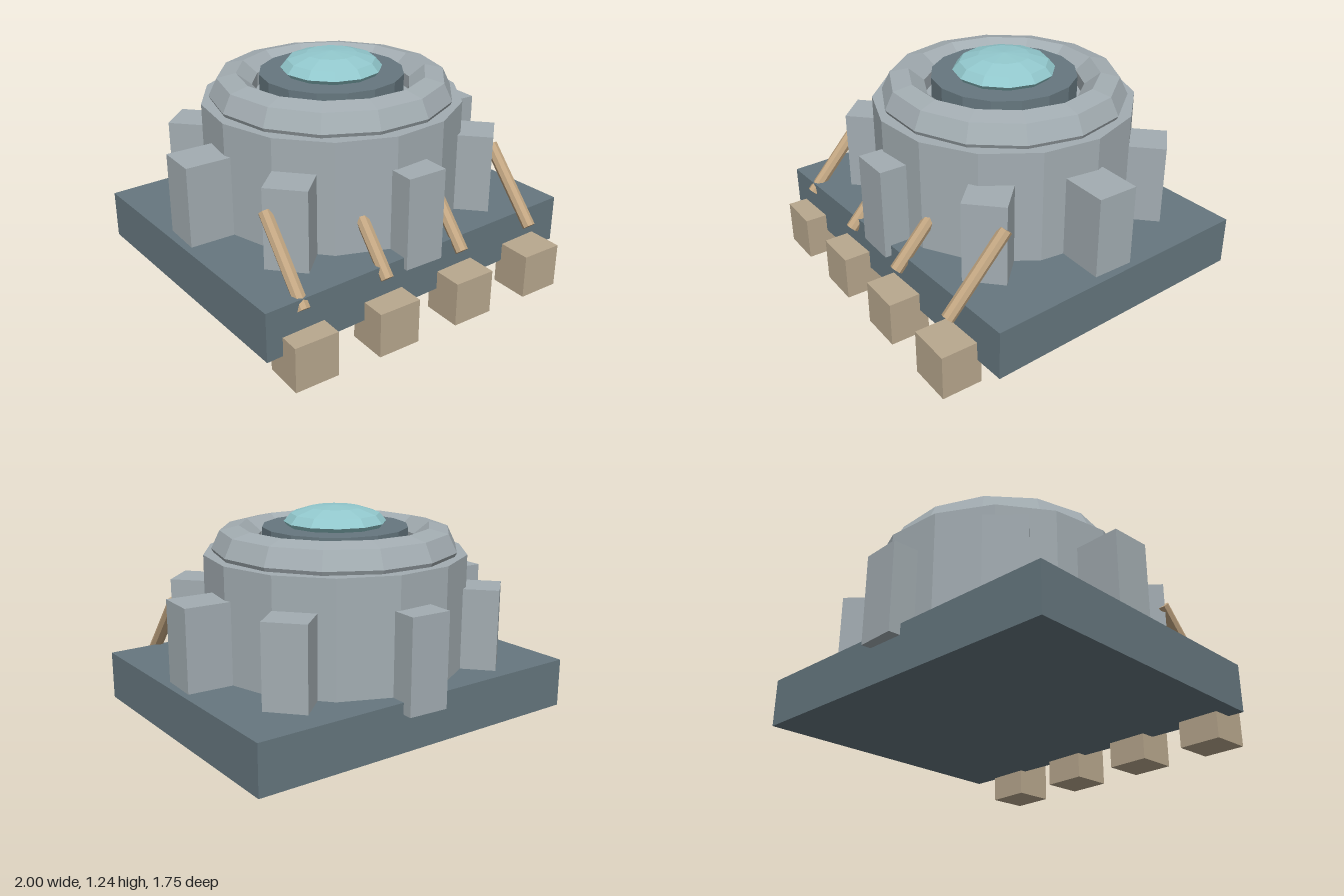
import * as THREE from 'three';

export function createModel() {
  const model = new THREE.Group();
  const mat = (name, color) => {
    const m = new THREE.MeshStandardMaterial({ color, flatShading: true });
    m.name = name;
    return m;
  };
  const paleStone = mat('pale grey', 0xa3adb2);
  const slate = mat('slate', 0x66777f);
  const sand = mat('sand', 0xb9a88e);
  const tan = mat('tan', 0xc2a682);
  const glass = mat('aqua glass', 0x92c8cd);

  const add = (name, geometry, material, x, y, z) => {
    const mesh = new THREE.Mesh(geometry, material);
    mesh.name = name;
    mesh.position.set(x, y, z);
    model.add(mesh);
    return mesh;
  };
  const cz = -0.06; // centre of the round tower

  // Slightly turned foundation slab
  add('base', new THREE.BoxGeometry(1.92, 0.26, 1.54), slate, 0, 0.27, -0.045).rotation.y = 0.052;

  // Drum, rim ring, hub and dome
  add('drum', new THREE.CylinderGeometry(0.695, 0.695, 0.62, 14), paleStone, 0, 0.69, cz).rotation.y = -0.122;
  add('rimRing', new THREE.TorusGeometry(0.53, 0.12, 7, 14), paleStone, 0, 1.02, cz).rotation.x = -Math.PI / 2;
  add('hub', new THREE.CylinderGeometry(0.385, 0.385, 0.2, 16), slate, 0, 1.03, cz);
  add('dome', new THREE.SphereGeometry(0.27, 12, 6), glass, 0, 1.152, cz).scale.y = 0.085 / 0.27;

  // Eight buttresses on an ellipse around the drum
  const buttressGeo = new THREE.BoxGeometry(0.22, 0.49, 0.3);
  for (let i = 0; i < 8; i++) {
    const a = (i * Math.PI) / 4;
    add('buttress', buttressGeo, paleStone, Math.sin(a) * 0.77, 0.585, cz + Math.cos(a) * 0.665).rotation.y = a;
  }

  // Front blocks, each with a leaning bar behind it
  const blockGeo = new THREE.BoxGeometry(0.235, 0.24, 0.215);
  const barGeo = new THREE.CylinderGeometry(0.034, 0.034, 0.49, 8);
  for (const x of [-0.714, -0.238, 0.238, 0.714]) {
    add('frontBlock', blockGeo, sand, x, 0.12, 0.768);
    add('leaningBar', barGeo, tan, x, 0.524, 0.602).rotation.x = -0.735;
  }
  return model;
}
